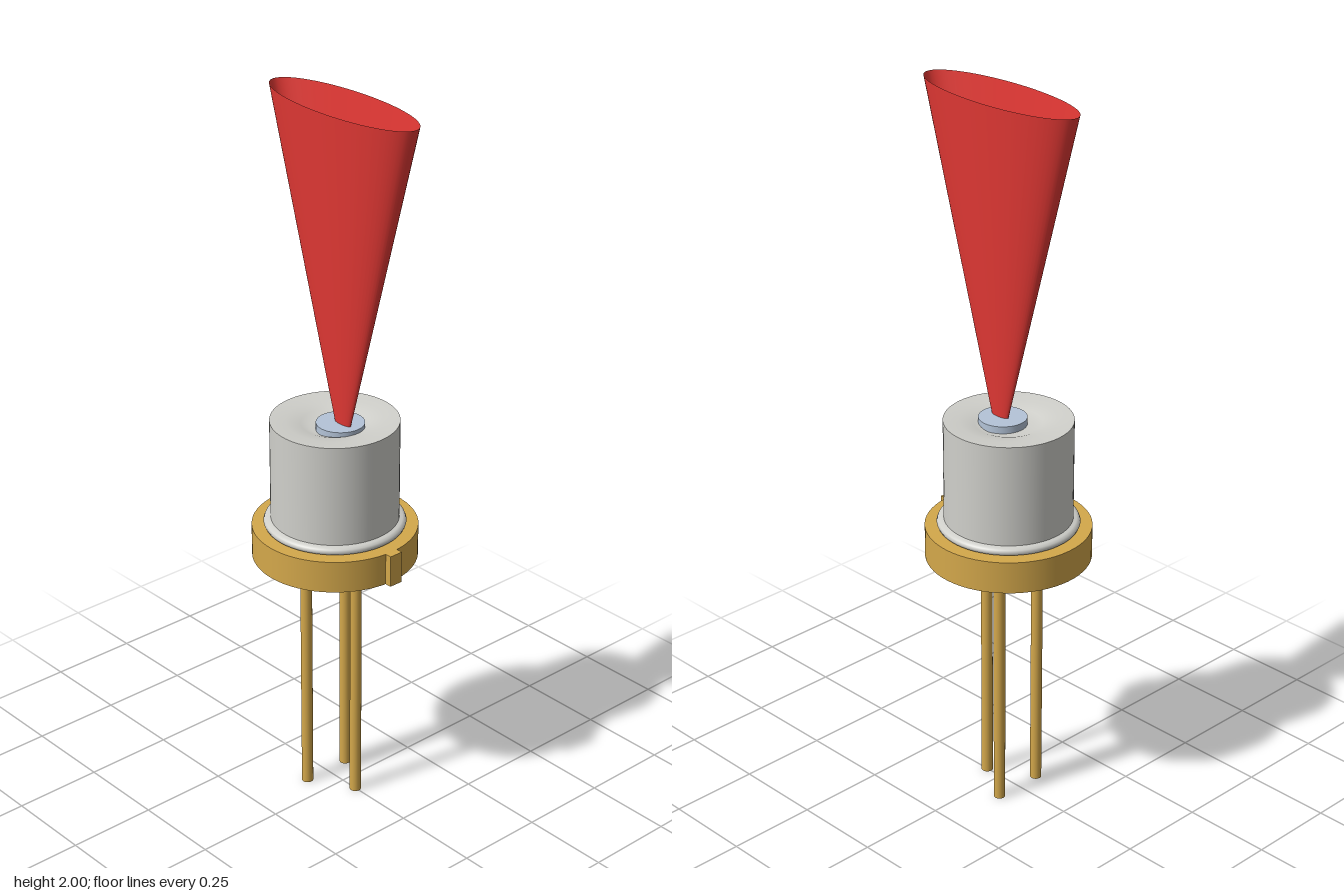
import * as THREE from 'three';

const gold = new THREE.MeshStandardMaterial({ name: 'gold', color: 0xd4a84b });
const steel = new THREE.MeshStandardMaterial({ name: 'steel', color: 0xd0d0cb });
const glass = new THREE.MeshStandardMaterial({ name: 'glass', color: 0xb4c4d8 });
const red = new THREE.MeshStandardMaterial({ name: 'beamRed', color: 0xe53935, side: THREE.DoubleSide });

const BODY_Z = -0.032; // axis of the round housing
const SEGMENTS = 64;

function add(parent, name, geometry, material, x = 0, y = 0, z = 0) {
  const mesh = new THREE.Mesh(geometry, material);
  mesh.name = name;
  mesh.position.set(x, y, z);
  parent.add(mesh);
  return mesh;
}

// Cylinder standing on y = 0
function post(radius, height, segments = SEGMENTS, open = false) {
  return new THREE.CylinderGeometry(radius, radius, height, segments, 1, open).translate(0, height / 2, 0);
}

function lathe(points) {
  return new THREE.LatheGeometry(points.map(([r, y]) => new THREE.Vector2(r, y)), SEGMENTS);
}

export function createModel() {
  const model = new THREE.Group();
  model.name = 'laserDiode';

  // Base flange with index tab
  add(model, 'baseFlange', post(0.224, 0.09), gold, 0, 0.725, BODY_Z);
  add(model, 'indexTab', new THREE.BoxGeometry(0.04, 0.09, 0.06), gold, 0, 0.77, 0.18);

  // Three leads
  for (const [x, z] of [[-0.071, -0.07], [0, 0.052], [0.071, -0.07]]) {
    add(model, 'lead', post(0.016, 0.73, 20), gold, x, 0, z);
  }

  // Cap: rounded weld rim, straight wall, dished top
  add(model, 'capRim', lathe([
    [0.182, 0.815], [0.189, 0.818], [0.192, 0.825], [0.189, 0.832], [0.182, 0.836], [0.171, 0.838],
  ]), steel, 0, 0, BODY_Z);
  add(model, 'capWall', post(0.173, 0.307, SEGMENTS, true), steel, 0, 0.815, BODY_Z);
  add(model, 'capTop', lathe([
    [0.173, 1.122], [0.13, 1.119], [0.09, 1.112], [0.065, 1.102], [0, 1.102],
  ]), steel, 0, 0, BODY_Z);

  // Window disc in the middle of the cap
  add(model, 'window', post(0.065, 0.022, 48), glass, 0, 1.1, -0.01);

  // Elliptical fan of light, open at both ends
  const beam = new THREE.CylinderGeometry(0.263, 0.029, 0.88, SEGMENTS, 1, true);
  beam.scale(0.33, 1, 1);
  add(model, 'beam', beam, red, 0, 1.56, 0);

  return model;
}
